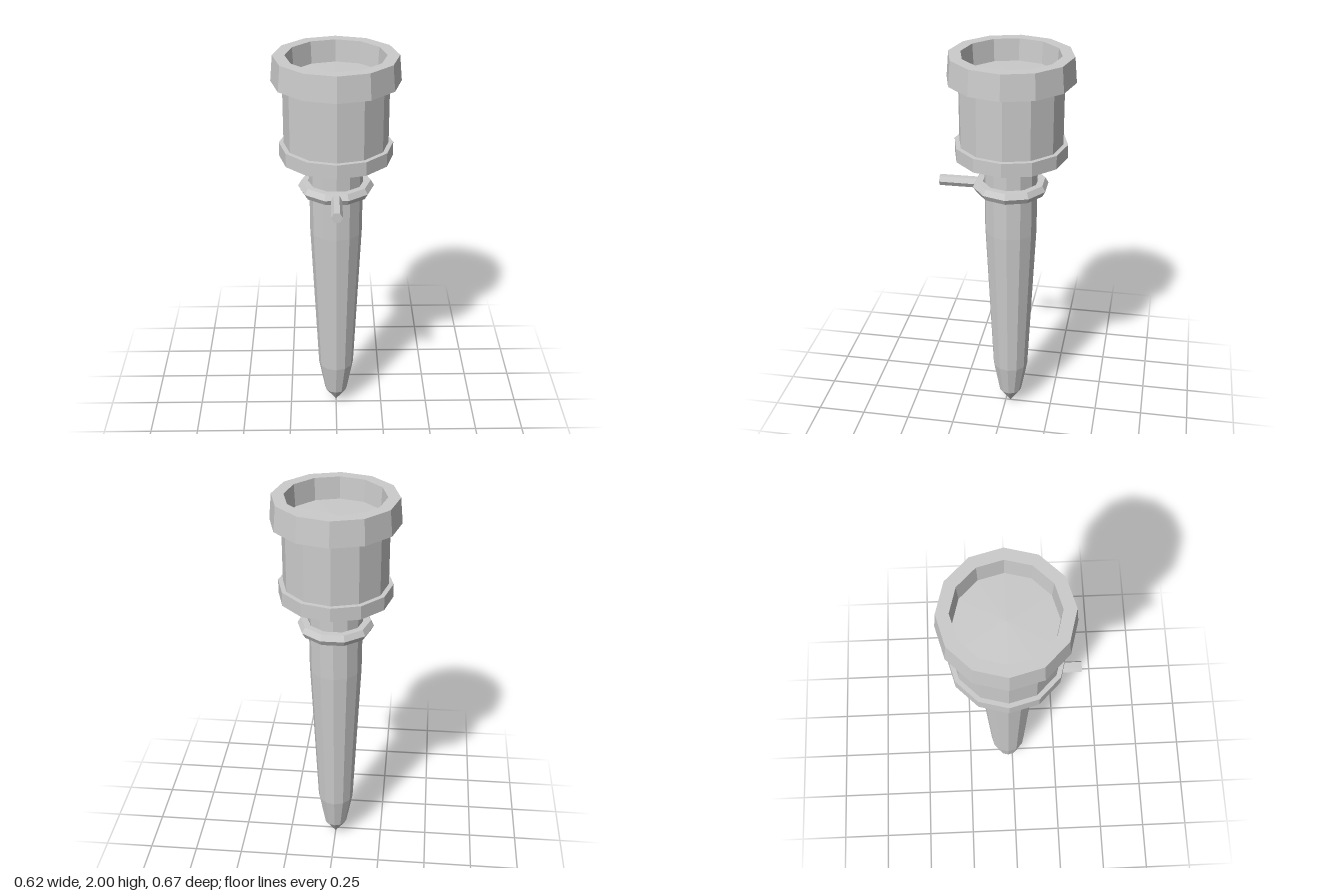
import * as THREE from 'three';

const material = new THREE.MeshStandardMaterial({ color: 0xcccccc, flatShading: true });

export function createModel() {
  const model = new THREE.Group();
  const axisZ = -0.025; // the round parts sit slightly back to balance the peg

  function add(name, geometry, y = 0, z = axisZ) {
    const mesh = new THREE.Mesh(geometry, material);
    mesh.name = name;
    mesh.position.set(0, y, z);
    model.add(mesh);
  }

  // Twelve-sided turned part; profile runs from bottom to top as [radius, y]
  const turned = (profile) =>
    new THREE.LatheGeometry(profile.map(([r, y]) => new THREE.Vector2(r, y)), 12);

  // Tapered shaft with a pointed tip
  add('shaft', turned([[0, 0], [0.06, 0.085], [0.093, 0.26], [0.132, 1.08], [0.135, 1.5]]));

  // Collar under the head
  add('collar', turned([[0, 1.49], [0.28, 1.49], [0.28, 1.56], [0.25, 1.56]]));

  // Head barrel
  add('head', turned([[0.257, 1.55], [0.257, 1.88]]));

  // Flared rim, recess wall and the shallow floor inside it
  add('rim', turned([[0.25, 1.875], [0.312, 1.875], [0.301, 2], [0.242, 2], [0.235, 1.89]]));
  add('recessFloor', turned([[0.237, 1.89], [0, 1.9]]));

  // Ring around the shaft
  add('ring', new THREE.TorusGeometry(0.157, 0.033, 6, 10).rotateX(Math.PI / 2), 1.327);

  // Hexagonal peg pointing forward from the ring
  const pegLength = 0.215;
  const peg = new THREE.CylinderGeometry(0.028, 0.028, pegLength, 6);
  peg.rotateY(Math.PI / 6).rotateX(Math.PI / 2);
  add('peg', peg, 1.327, 0.335 - pegLength / 2);

  return model;
}
